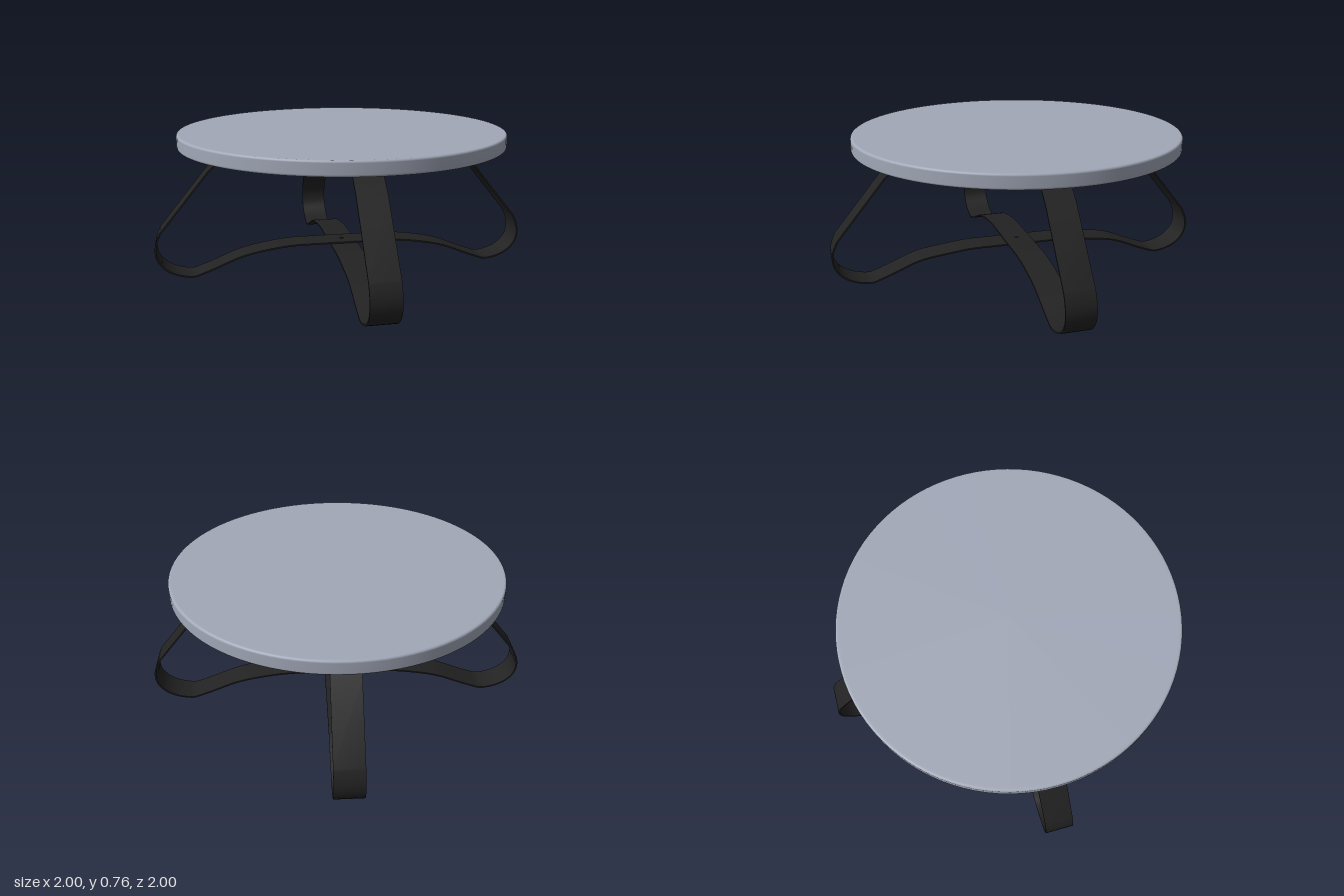
import * as THREE from 'three';
import { toCreasedNormals } from 'three/addons/utils/BufferGeometryUtils.js';

const WIDTH = 0.148, THICK = 0.008;

// Half of the bent band, from the arch centre out round the foot and up to the mounting tab
function halfPath(arch) {
  const sections = [
    [[0, arch], [0.14, arch], [0.27, arch - 0.001], [0.4, arch - 0.015], [0.55, 0.1], [0.7, 0.041], [0.79, 0.008]],
    [[0.79, 0.008], [0.825, 0.006], [0.89, 0.021], [0.945, 0.051], [0.984, 0.097], [0.996, 0.15], [0.988, 0.2], [0.966, 0.25]],
    [[0.966, 0.25], [0.714, 0.56]],
    [[0.714, 0.56], [0.655, 0.615], [0.578, 0.678]],
    [[0.578, 0.678], [0.3, 0.678]],
  ];
  const pts = [];
  sections.forEach((s, i) => {
    const curve = new THREE.SplineCurve(s.map(p => new THREE.Vector2(...p)));
    const sampled = curve.getPoints(s.length > 2 ? 20 : 1);
    pts.push(...(i ? sampled.slice(1) : sampled));
  });
  return pts;
}

// Mirrored path thickened on both sides and extruded to the band width
function bandGeometry(arch) {
  const half = halfPath(arch);
  const path = [
    ...half.slice(1).reverse().map(p => new THREE.Vector2(-p.x, p.y)),
    ...half,
  ];
  const offset = d => path.map((p, i) => {
    const a = path[Math.max(i - 1, 0)], b = path[Math.min(i + 1, path.length - 1)];
    const t = b.clone().sub(a).normalize();
    return new THREE.Vector2(p.x - t.y * d, p.y + t.x * d);
  });
  const shape = new THREE.Shape([...offset(-THICK / 2), ...offset(THICK / 2).reverse()]);
  const geo = new THREE.ExtrudeGeometry(shape, { depth: WIDTH, bevelEnabled: false });
  geo.translate(0, 0, -WIDTH / 2);
  return toCreasedNormals(geo, 0.5);
}

export function createModel() {
  const group = new THREE.Group();
  const topPaint = new THREE.MeshStandardMaterial({ color: 0xa2a8b8 });
  topPaint.name = 'blue grey top';
  const steel = new THREE.MeshStandardMaterial({ color: 0x222222 });
  steel.name = 'black steel';

  const add = (name, geo, mat, x = 0, y = 0, z = 0, parent = group) => {
    const mesh = new THREE.Mesh(geo, mat);
    mesh.name = name;
    mesh.position.set(x, y, z);
    parent.add(mesh);
    return mesh;
  };

  // Round top with softly rounded edges
  const R = 0.862, LOW = 0.683, HIGH = 0.758, r = 0.012;
  const profile = [new THREE.Vector2(0, LOW), new THREE.Vector2(R - r - 0.01, LOW)];
  for (let i = 0; i <= 6; i++) {
    const a = -Math.PI / 2 + i * Math.PI / 12;
    profile.push(new THREE.Vector2(R - r + Math.cos(a) * r, LOW + r + Math.sin(a) * r));
  }
  for (let i = 0; i <= 6; i++) {
    const a = i * Math.PI / 12;
    profile.push(new THREE.Vector2(R - r + Math.cos(a) * r, HIGH - r + Math.sin(a) * r));
  }
  profile.push(new THREE.Vector2(R - r - 0.01, HIGH), new THREE.Vector2(0, HIGH));
  add('tableTop', new THREE.LatheGeometry(profile, 96), topPaint);

  // Two crossed bands, one resting on the other, with screws under each tab
  const screw = new THREE.SphereGeometry(0.011, 12, 8);
  ['sideToSide', 'frontToBack'].forEach((name, i) => {
    const frame = new THREE.Group();
    frame.name = name + 'Frame';
    frame.rotation.y = i * Math.PI / 2;
    add(name + 'Band', bandGeometry(i ? 0.138 : 0.146), steel, 0, 0, 0, frame);
    for (const side of [-1, 1])
      for (const x of [0.38, 0.46])
        add('tabScrew', screw, steel, side * x, 0.674, 0, frame).scale.y = 0.8;
    group.add(frame);
  });

  // Bolt through the crossing
  add('centreBolt', new THREE.CylinderGeometry(0.011, 0.011, 0.022, 16), steel, 0, 0.142, 0);

  return group;
}
